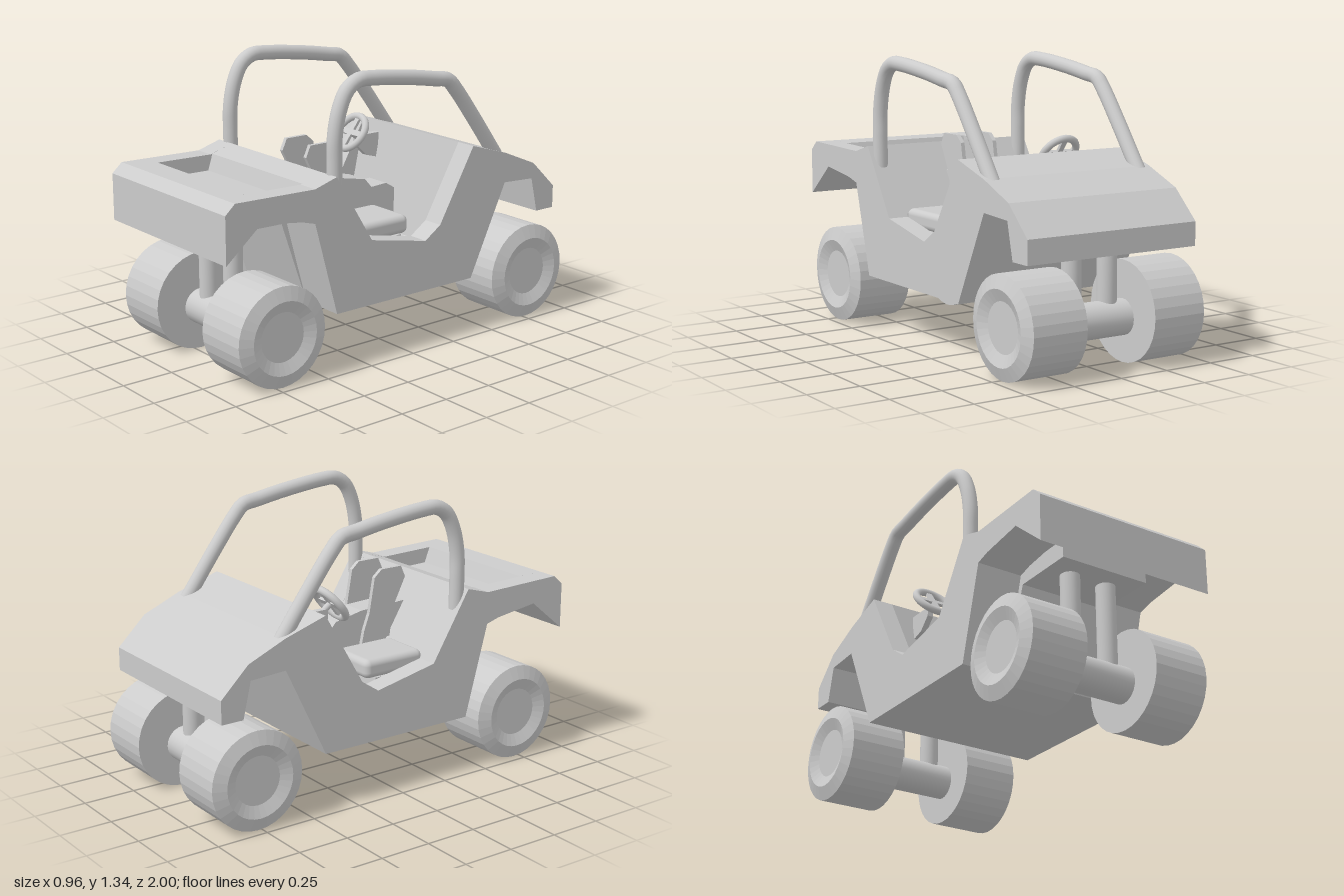
import * as THREE from 'three';
import { RoundedBoxGeometry } from 'three/addons/geometries/RoundedBoxGeometry.js';
import { toCreasedNormals } from 'three/addons/utils/BufferGeometryUtils.js';

const flat = new THREE.MeshStandardMaterial({ color: 0xcccccc, flatShading: true });
const smooth = new THREE.MeshStandardMaterial({ color: 0xcccccc });

export function createModel() {
  const model = new THREE.Group();

  const add = (name, geometry, material = flat, parent = model) => {
    const mesh = new THREE.Mesh(geometry, material);
    mesh.name = name;
    parent.add(mesh);
    return mesh;
  };

  // Side profile given as [z, y] points, extruded across x0..x1
  const slab = (name, points, x0, x1) => {
    const shape = new THREE.Shape(points.map(([z, y]) => new THREE.Vector2(z, y)));
    const g = new THREE.ExtrudeGeometry(shape, { depth: x1 - x0, bevelEnabled: false });
    g.rotateY(-Math.PI / 2).translate(x1, 0, 0);
    return add(name, g);
  };

  // Body: outer sides and a centre section share everything but the top line
  const underside = [
    [-0.94, 0.635], [-0.94, 0.525], [-0.83, 0.525], [-0.79, 0.695], [-0.61, 0.705],
    [-0.4, 0.27], [0.41, 0.27], [0.53, 0.71], [0.6, 0.73], [0.82, 0.76], [1, 0.61], [1, 0.83],
  ];
  const hood = [[-0.4, 0.915], [-0.61, 0.85], [-0.8, 0.77]];
  const sideTop = [[0.95, 0.875], [0.53, 0.865], [0.41, 0.9], [0.21, 0.575], [-0.11, 0.51], [-0.2, 0.57]];
  const centreTop = [
    [0.95, 0.875], [0.82, 0.872], [0.79, 0.795], [0.545, 0.79], [0.52, 0.867], // load bed
    [0.41, 0.9], [0.22, 0.59], [0.2, 0.53], [-0.05, 0.53], [-0.07, 0.32],       // seat base
    [-0.2, 0.32], [-0.29, 0.42],                                             // footwell
  ];
  for (const [name, x0, x1] of [['rightBodySide', -0.45, -0.348], ['leftBodySide', 0.348, 0.45]])
    slab(name, [...underside, ...sideTop, ...hood], x0, x1);
  slab('bodyCentre', [...underside, ...centreTop, ...hood], -0.348, 0.348);
  slab('bedSupport', [[0.39, 0.275], [0.412, 0.275], [0.545, 0.66], [0.85, 0.665], [0.85, 0.75], [0.5, 0.74]], -0.225, 0.225);

  // Console between the seats
  slab('console', [
    [0.3, 0.3], [0.335, 0.77], [0.08, 0.76], [-0.07, 0.73], [-0.11, 0.685], [-0.2, 0.69], [-0.25, 0.66], [-0.25, 0.3],
  ], -0.065, 0.06);

  for (const s of [-1, 1]) {
    // Seat cushion
    add('seatCushion', new RoundedBoxGeometry(0.26, 0.09, 0.33, 3, 0.03).translate(s * 0.217, 0.57, 0.065), smooth);

    // Upright plate beside the console
    slab('seatDivider', [
      [0.055, 0.6], [0.22, 0.62], [0.24, 0.76], [0.31, 0.9], [0.285, 0.955],
      [0.17, 0.955], [0.13, 0.92], [0.1, 0.75], [0.07, 0.67],
    ], s * 0.09 - 0.01, s * 0.09 + 0.01);

    // Roll bar
    const path = [
      [0.38, 0.8], [0.382, 0.95], [0.38, 1.06], [0.355, 1.18], [0.31, 1.265], [0.25, 1.3], [0.17, 1.3],
      [-0.05, 1.275], [-0.2, 1.25], [-0.28, 1.235], [-0.33, 1.185], [-0.45, 1.03], [-0.6, 0.825],
    ].map(([z, y]) => new THREE.Vector3(s * 0.397, y, z));
    add('rollBar', new THREE.TubeGeometry(new THREE.CatmullRomCurve3(path), 64, 0.035, 16), smooth);
  }

  // Steering wheel, its local z axis pointing along the column to the driver
  const steering = new THREE.Group();
  steering.name = 'steeringWheel';
  steering.position.set(-0.225, 0.885, -0.215);
  steering.rotation.x = -0.65;
  model.add(steering);
  add('steeringRim', new THREE.TorusGeometry(0.09, 0.018, 10, 32), smooth, steering);
  add('steeringSpokeAcross', new THREE.BoxGeometry(0.17, 0.028, 0.014), flat, steering);
  add('steeringSpokeUp', new THREE.BoxGeometry(0.028, 0.17, 0.014), flat, steering);
  add('steeringColumn', new THREE.CylinderGeometry(0.015, 0.015, 0.18, 12).rotateX(Math.PI / 2).translate(0, 0, -0.09), smooth, steering);
  slab('columnBracket', [[-0.24, 0.865], [-0.24, 0.82], [-0.3, 0.76], [-0.37, 0.74], [-0.38, 0.865]], -0.24, -0.21);

  // Wheels with chamfered shoulders and dished hubs, axles and struts
  const wheelProfile = [[0, 0], [0.233, 0], [0.233, 0.275], [0.17, 0.298], [0.115, 0.275], [0, 0.275]]
    .map(([r, h]) => new THREE.Vector2(r, h));
  for (const [end, z] of [['front', 0.717], ['rear', -0.767]]) {
    for (const s of [-1, 1]) {
      const g = new THREE.LatheGeometry(wheelProfile, 32).rotateZ(-s * Math.PI / 2);
      add(end + 'Wheel', g.translate(s * 0.182, 0.233, z));
      const strut = new THREE.CylinderGeometry(0.045, 0.045, 0.52, 20).translate(s * 0.097, 0.46, z + 0.005);
      add(end + 'Strut', toCreasedNormals(strut, 0.6), smooth);
    }
    const axle = new THREE.CylinderGeometry(0.083, 0.083, 0.4, 24).rotateZ(Math.PI / 2).translate(0, 0.208, z);
    add(end + 'Axle', toCreasedNormals(axle, 0.6), smooth);
  }

  return model;
}
